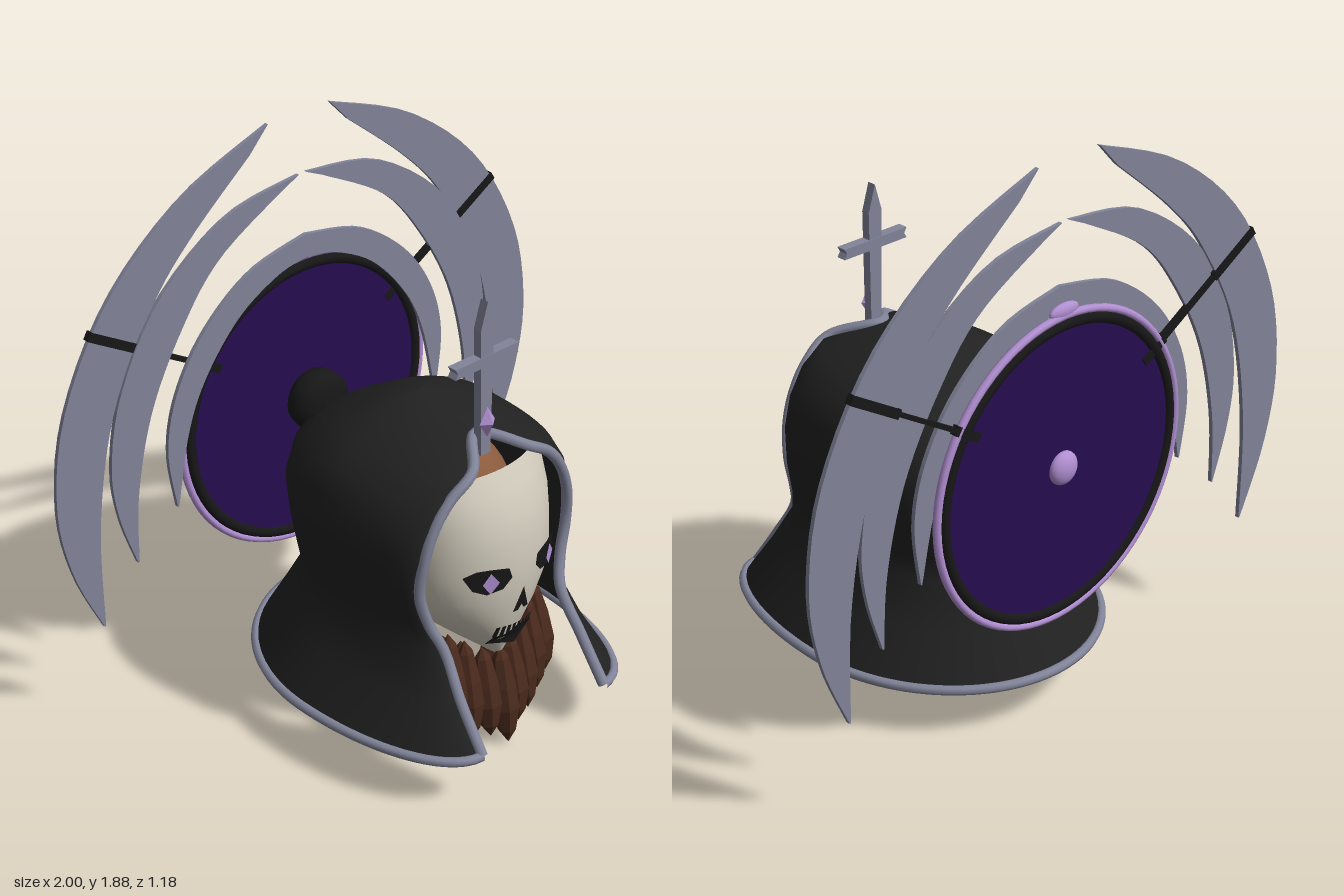
import * as THREE from 'three';

const mat = (name, color, double) => {
  const m = new THREE.MeshStandardMaterial({ color, side: double ? THREE.DoubleSide : THREE.FrontSide });
  m.name = name;
  return m;
};

export function createModel() {
  const root = new THREE.Group();
  const cloth = mat('black cloth', 0x212121, true);
  const steel = mat('grey steel', 0x82859a);
  const dark = mat('black paint', 0x171717, true);
  const purple = mat('deep purple', 0x260c50);
  const lilac = mat('lilac', 0xb18fd2, true);
  const bone = mat('bone', 0xd0cabb, true);
  const skin = mat('brown skin', 0x8a5a3c);
  const hair = mat('brown hair', 0x4a2a1c);
  hair.flatShading = true;

  const add = (name, geo, material, x = 0, y = 0, z = 0) => {
    const m = new THREE.Mesh(geo, material);
    m.name = name;
    m.position.set(x, y, z);
    root.add(m);
    return m;
  };

  // surface skinned over equal-length rows of points
  const skinRows = (rows) => {
    const n = rows[0].length, idx = [];
    for (let r = 0; r < rows.length - 1; r++)
      for (let i = 0; i < n - 1; i++) {
        const a = r * n + i, b = a + 1, c = a + n, d = c + 1;
        idx.push(a, b, c, b, d, c);
      }
    const g = new THREE.BufferGeometry().setFromPoints(rows.flat());
    g.setIndex(idx);
    g.computeVertexNormals();
    return g;
  };
  const V = (x, y, z) => new THREE.Vector3(x, y, z);
  const tube = (pts, r, n) => new THREE.TubeGeometry(new THREE.CatmullRomCurve3(pts, false, 'centripetal'), n, r, 8);

  // hood rows: height, half width, back z, opening edge x, opening edge z
  const hoodRows = [
    [0.18, 0.51, -0.57, 0.27, 0.575], [0.33, 0.415, -0.485, 0.265, 0.47], [0.47, 0.35, -0.405, 0.255, 0.385],
    [0.56, 0.365, -0.425, 0.285, 0.35], [0.68, 0.385, -0.445, 0.315, 0.34], [0.8, 0.395, -0.455, 0.305, 0.35],
    [0.9, 0.38, -0.42, 0.27, 0.355], [0.98, 0.335, -0.33, 0.21, 0.36], [1.04, 0.265, -0.23, 0.12, 0.36],
    [1.085, 0.18, -0.15, 0, 0.25], [1.12, 0.1, -0.08, 0, 0.12], [1.135, 0, 0, 0, 0],
  ];
  const hoodRow = ([y, hw, zb, xe, ze]) => {
    const half = [];
    for (let i = 0; i <= 10; i++) {
      const t = (1 - i / 10) * Math.PI / 2;
      half.push(V(xe + (hw - xe) * Math.cos(t), y, ze * Math.sin(t)));
    }
    for (let i = 1; i <= 14; i++) {
      const t = i / 14 * Math.PI / 2;
      half.push(V(hw * Math.cos(t), y, zb * Math.sin(t)));
    }
    const other = half.slice(0, -1).reverse().map((p) => V(-p.x, p.y, p.z));
    return [...half, ...other];
  };
  const hoodPts = hoodRows.map(hoodRow);
  add('hood', skinRows(hoodPts), cloth);
  add('hoodHemTrim', tube(hoodPts[0], 0.016, 100), steel);
  const edge = hoodRows.slice(0, 10).map(([y, , , x, z]) => V(x, y, z));
  const edgeBack = edge.slice(0, -1).reverse().map((p) => V(-p.x, p.y, p.z));
  add('hoodOpeningTrim', tube([...edge, ...edgeBack], 0.018, 120), steel);

  // head and bone mask
  add('head', new THREE.SphereGeometry(1, 28, 20), skin, 0, 0.7, 0.1).scale.set(0.24, 0.345, 0.26);
  const maskRows = [
    [1.01, 0.245, 0.365], [0.95, 0.262, 0.4], [0.87, 0.27, 0.437], [0.78, 0.272, 0.452], [0.69, 0.27, 0.458],
    [0.6, 0.258, 0.452], [0.52, 0.215, 0.438], [0.45, 0.155, 0.42], [0.38, 0.08, 0.395], [0.33, 0.02, 0.375],
  ];
  const side = 0.22;
  add('mask', skinRows(maskRows.map(([y, hw, zf]) => Array.from({ length: 25 }, (_, i) => {
    const a = (i / 12 - 1) * Math.PI / 2;
    return V(hw * Math.sin(a), y, side + (zf - side) * Math.cos(a));
  })).reverse()), bone);
  const maskZ = (x, y) => {
    let i = 0;
    while (i < maskRows.length - 2 && maskRows[i + 1][0] > y) i++;
    const [p, q] = [maskRows[i], maskRows[i + 1]];
    const t = (p[0] - y) / (p[0] - q[0]);
    const hw = p[1] + (q[1] - p[1]) * t, zf = p[2] + (q[2] - p[2]) * t;
    return side + (zf - side) * Math.sqrt(Math.max(0, 1 - (x / hw) ** 2));
  };

  // painted face details laid over the mask
  const paint = (name, pts, material, lift) => {
    const g = new THREE.ShapeGeometry(new THREE.Shape(pts.map(([x, y]) => new THREE.Vector2(x, y))));
    const p = g.attributes.position;
    for (let i = 0; i < p.count; i++) p.setZ(i, maskZ(p.getX(i), p.getY(i)) + lift);
    g.computeVertexNormals();
    add(name, g, material);
  };
  for (const s of [-1, 1]) {
    const eye = [[0.05, 0.69], [0.08, 0.655], [0.13, 0.645], [0.17, 0.665], [0.195, 0.715], [0.16, 0.735], [0.12, 0.735], [0.06, 0.725]];
    paint('eyeSocket', eye.map(([x, y]) => [s * x, y]), dark, 0.017);
    const iris = [[0.1, 0.69], [0.125, 0.652], [0.15, 0.69], [0.125, 0.728]];
    paint('eye', iris.map(([x, y]) => [s * x, y]), lilac, 0.026);
  }
  paint('nose', [[0, 0.635], [-0.032, 0.545], [-0.012, 0.545], [0, 0.565], [0.012, 0.545], [0.032, 0.545]], dark, 0.018);
  paint('mouth', [[-0.075, 0.405], [0, 0.405], [0.075, 0.405], [0.08, 0.455], [0, 0.455], [-0.08, 0.455]], dark, 0.03);
  for (let i = -4; i <= 4; i++) {
    const x = i * 0.0185;
    paint('toothGap', [[x - 0.006, 0.45], [x + 0.006, 0.45], [x + 0.006, 0.497], [x - 0.006, 0.497]], dark, 0.024);
  }

  // beard: layers of faceted locks
  const lock = (top, tip, r) => {
    const d = tip.clone().sub(top), len = d.length();
    const profile = [[0, 0], [0.55, 0.12], [0.9, 0.4], [1, 0.62], [0.6, 0.86], [0, 1]];
    const g = new THREE.LatheGeometry(profile.map(([a, b]) => new THREE.Vector2(a * r, b * len)), 7);
    // lathe reads bottom-up, so build from tip to top
    g.translate(0, -len, 0).rotateX(Math.PI).translate(0, -len, 0);
    const m = add('beardLock', g, hair, top.x, top.y, top.z);
    m.quaternion.setFromUnitVectors(V(0, -1, 0), d.normalize());
  };
  const locks = [[0, 0.36, 0.005], [0.06, 0.37, 0.05], [0.12, 0.41, 0.06], [0.175, 0.45, 0.1], [0.225, 0.47, 0.14]];
  for (const [x, top, tip] of locks)
    for (const s of x ? [-1, 1] : [1]) {
      lock(V(s * x * 0.95, top, 0.37 - x * 0.35), V(s * x * 1.03, tip, 0.42 - x * 0.3), 0.05);
      lock(V(s * (x + 0.025), top, 0.3 - x * 0.3), V(s * (x + 0.02), tip + 0.045, 0.33 - x * 0.3), 0.05);
    }

  // cross ornament on the brow
  const flat = (pts, depth) => new THREE.ExtrudeGeometry(
    new THREE.Shape(pts.map(([x, y]) => new THREE.Vector2(x, y))), { depth, bevelEnabled: false });
  add('browBlade', flat([[-0.02, 1.03], [0.02, 1.03], [0.027, 1.46], [0, 1.55], [-0.027, 1.46]], 0.03), steel, 0, 0, 0.265);
  add('browCrossbar', flat([[-0.13, 1.335], [0.13, 1.335], [0.12, 1.352], [0.13, 1.37], [-0.13, 1.37], [-0.12, 1.352]], 0.034), steel, 0, 0, 0.263);
  add('browGem', new THREE.OctahedronGeometry(1), lilac, 0, 1.145, 0.3).scale.set(0.032, 0.052, 0.025);

  // halo disc behind the head
  const cy = 0.875, cz = -0.547;
  add('haloDisc', new THREE.CylinderGeometry(0.485, 0.485, 0.016, 64).rotateX(Math.PI / 2), purple, 0, cy, cz);
  add('haloRing', new THREE.TorusGeometry(0.482, 0.02, 10, 72), dark, 0, cy, cz);
  add('haloRim', new THREE.TorusGeometry(0.51, 0.013, 8, 72), lilac, 0, cy, cz - 0.003);
  add('haloBackGem', new THREE.SphereGeometry(1, 20, 14), lilac, 0, cy + 0.01, -0.56).scale.set(0.055, 0.055, 0.03);
  add('haloTopGem', new THREE.SphereGeometry(1, 16, 10), lilac, 0, 1.4, cz).scale.set(0.06, 0.025, 0.016);
  const hub = [[0, 0], [0.08, 0], [0.1, 0.02], [0.106, 0.05], [0.1, 0.09], [0.06, 0.11], [0, 0.115]];
  add('haloHub', new THREE.LatheGeometry(hub.map(([a, b]) => new THREE.Vector2(a, b)), 28).rotateX(Math.PI / 2), dark, 0, 0.89, -0.54);

  // crescent blades: outer edge, inner edge, z
  const blades = [
    ['outerBlade', [[0.125, 1.88], [0.47, 1.74], [0.76, 1.5], [0.945, 1.18], [1, 0.87], [0.96, 0.61], [0.86, 0.37]],
      [[0.855, 0.37], [0.845, 0.75], [0.765, 1.12], [0.6, 1.42], [0.44, 1.6], [0.2, 1.8]], -0.555],
    ['middleBlade', [[0.015, 1.68], [0.31, 1.63], [0.58, 1.44], [0.74, 1.18], [0.795, 0.94], [0.78, 0.75], [0.72, 0.555]],
      [[0.715, 0.555], [0.7, 0.8], [0.63, 1.07], [0.5, 1.31], [0.34, 1.5], [0.08, 1.65]], -0.546],
    ['innerBlade', [[0, 1.475], [0.23, 1.42], [0.42, 1.28], [0.54, 1.1], [0.585, 0.91], [0.56, 0.7]],
      [[0.555, 0.7], [0.5, 0.95], [0.42, 1.12], [0.28, 1.28], [0.12, 1.37], [0, 1.395]], -0.536],
  ];
  for (const s of [-1, 1]) {
    for (const [name, outer, inner, z] of blades) {
      const smooth = (pts) => new THREE.SplineCurve(pts.map(([x, y]) => new THREE.Vector2(s * x, y)))
        .getPoints(28).map((p) => [p.x, p.y]);
      add(name, flat([...smooth(outer), ...smooth(inner)], 0.014), steel, 0, 0, z);
    }
    // struts holding the blades
    const strut = (x0, y0, x1, y1, w) => {
      const g = new THREE.BoxGeometry(Math.hypot(x1 - x0, y1 - y0), w, 0.024);
      add('strut', g, dark, s * (x0 + x1) / 2, (y0 + y1) / 2, -0.549)
        .rotation.z = s * Math.atan2(y1 - y0, x1 - x0);
    };
    strut(0.35, 1.115, 0.83, 1.405, 0.014);
    strut(0.66, 1.302, 0.835, 1.408, 0.03);
    strut(0.35, 1.115, 0.44, 1.169, 0.03);
  }
  return root;
}
